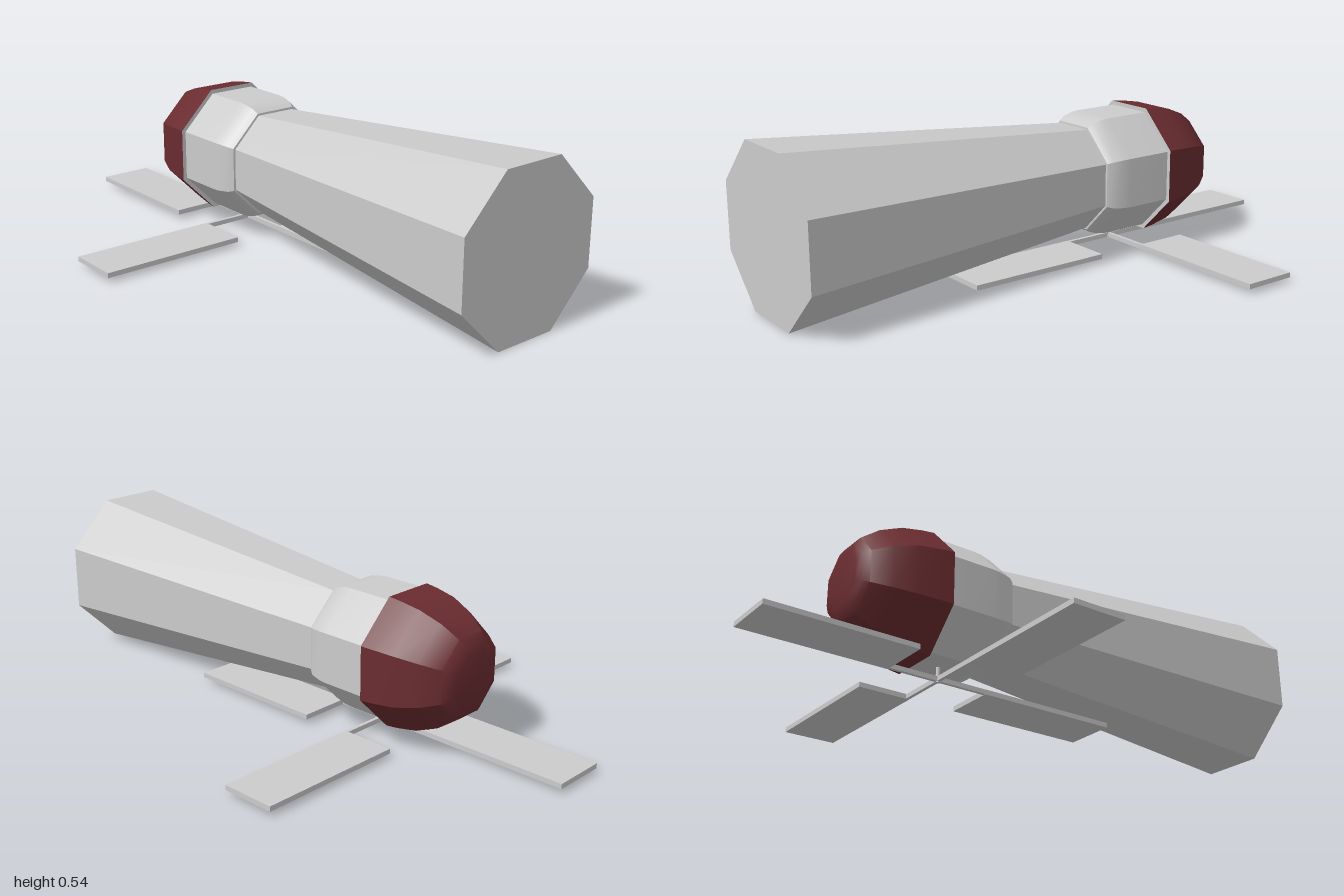
import * as THREE from 'three';
import { toCreasedNormals } from 'three/addons/utils/BufferGeometryUtils.js';

const AXIS_Y = 0.268; // height of the tower's lying axis
const HUB_Z = -0.307; // sail centre along the tower

const grey = new THREE.MeshStandardMaterial({ color: 0xcccccc, side: THREE.DoubleSide });
const red = new THREE.MeshStandardMaterial({ color: 0x6a2c30, side: THREE.DoubleSide });

// Octagonal part along -z; profile holds [apothem, distance along -z]
function octagon(name, profile, material) {
  const points = profile.map(([a, d]) => new THREE.Vector2(a / Math.cos(Math.PI / 8), d));
  const lathe = new THREE.LatheGeometry(points, 8, Math.PI / 8);
  lathe.rotateX(-Math.PI / 2);
  const mesh = new THREE.Mesh(toCreasedNormals(lathe, 0.6), material);
  mesh.name = name;
  mesh.position.y = AXIS_Y;
  return mesh;
}

function box(name, w, h, d, x, y, z) {
  const mesh = new THREE.Mesh(new THREE.BoxGeometry(w, h, d), grey);
  mesh.name = name;
  mesh.position.set(x, y, z);
  return mesh;
}

export function createModel() {
  const model = new THREE.Group();
  model.name = 'windmill';

  // Tapered tower with its closed base
  model.add(octagon('tower', [[0, -1], [0.268, -1], [0.172, 0.145]], grey));

  // Flared collar, ending in the eave under the cap
  model.add(octagon('collar', [
    [0.168, 0.145], [0.179, 0.146], [0.192, 0.165], [0.201, 0.205],
    [0.203, 0.23], [0.203, 0.395], [0.217, 0.395],
  ], grey));

  // Domed cap
  model.add(octagon('cap', [
    [0.217, 0.395], [0.212, 0.44], [0.2, 0.51], [0.171, 0.585],
    [0.132, 0.642], [0.108, 0.659], [0.082, 0.667], [0, 0.667],
  ], red));

  // Four sails, each with its blade on one side of its arm
  const sails = new THREE.Group();
  sails.name = 'sails';
  sails.position.set(0, 0.024, HUB_Z);
  for (let i = 0; i < 4; i++) {
    const sail = new THREE.Group();
    sail.name = 'sail';
    sail.add(box('arm', 0.2, 0.016, 0.012, 0.1, 0, 0));
    sail.add(box('blade', 0.513, 0.017, 0.187, 0.4365, 0, -0.0875));
    sail.rotation.y = (i * Math.PI) / 2;
    sails.add(sail);
  }
  model.add(sails);

  // Shaft from the sails into the collar
  const shaft = new THREE.Mesh(new THREE.CylinderGeometry(0.007, 0.007, 0.085, 12), grey);
  shaft.name = 'shaft';
  shaft.position.set(0, 0.0555, HUB_Z);
  model.add(shaft);

  return model;
}
